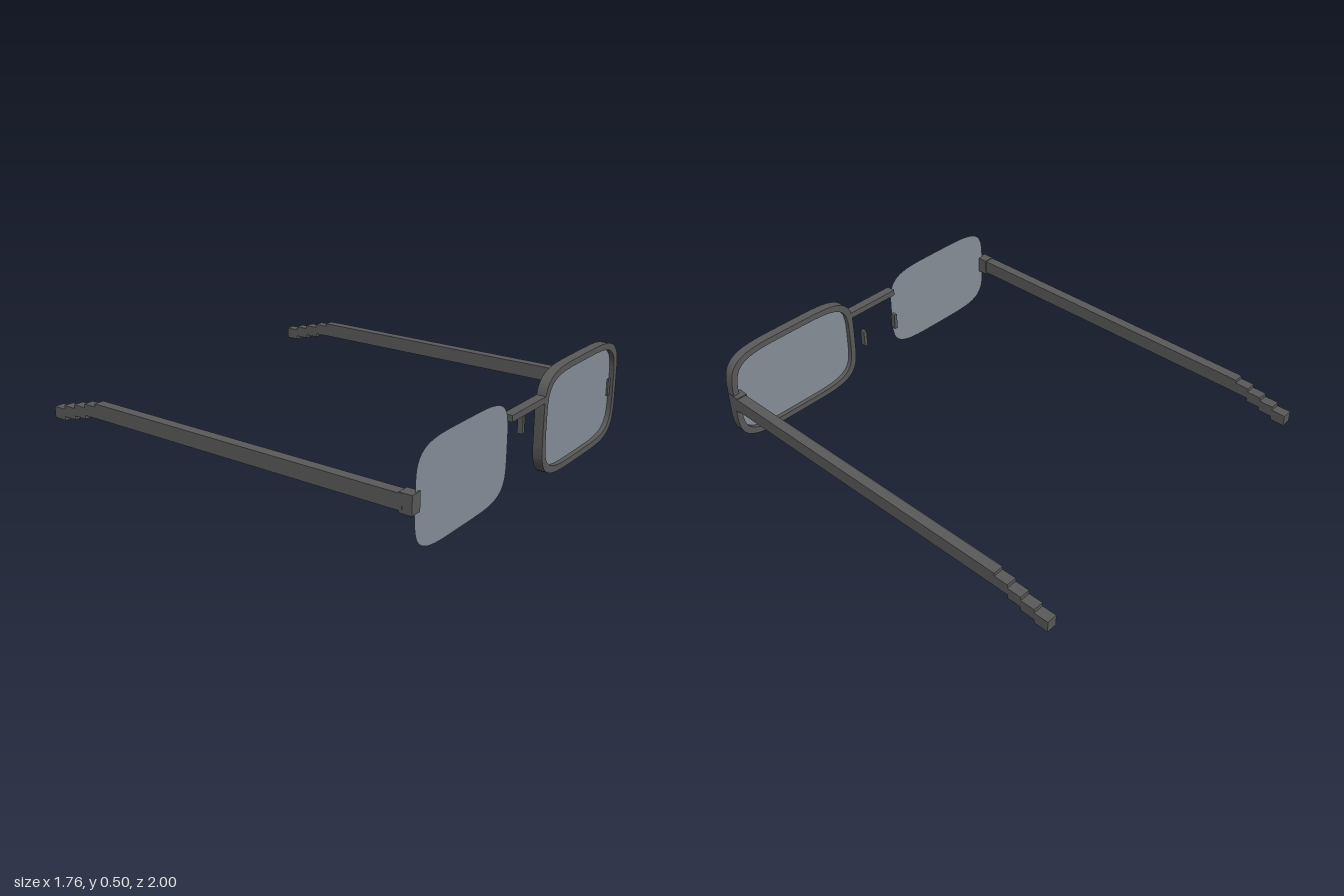
import * as THREE from 'three';

// Soft rectangle outline (superellipse) with half-sizes a and b
function outline(a, b, n = 4.5, count = 64) {
  const points = [];
  for (let i = 0; i < count; i++) {
    const t = (i / count) * Math.PI * 2;
    const c = Math.cos(t), s = Math.sin(t);
    points.push(new THREE.Vector2(
      a * Math.sign(c) * Math.abs(c) ** (2 / n),
      b * Math.sign(s) * Math.abs(s) ** (2 / n)));
  }
  return points;
}

export function createModel() {
  const model = new THREE.Group();
  model.name = 'glasses';

  const frameMat = new THREE.MeshStandardMaterial({ color: 0x5a5a5a });
  frameMat.name = 'frame grey';
  const lensMat = new THREE.MeshStandardMaterial({ color: 0x87909a, side: THREE.DoubleSide });
  lensMat.name = 'lens blue grey';

  const add = (name, geometry, material, x, y, z) => {
    const mesh = new THREE.Mesh(geometry, material);
    mesh.name = name;
    mesh.position.set(x, y, z);
    model.add(mesh);
  };
  const box = (name, w, h, d, x, y, z) =>
    add(name, new THREE.BoxGeometry(w, h, d), frameMat, x, y, z);

  const lensX = 0.5, lensY = 0.252;

  // Rim, around the left lens only
  const rimShape = new THREE.Shape(outline(0.375, 0.252));
  rimShape.holes.push(new THREE.Path(outline(0.345, 0.222)));
  const rim = new THREE.ExtrudeGeometry(rimShape, { depth: 0.046, bevelEnabled: false });
  add('leftRim', rim, frameMat, lensX, lensY, 0.954);

  // Bridge between the lenses
  box('bridge', 0.325, 0.03, 0.046, 0, 0.385, 0.977);

  for (const [side, s] of [['left', 1], ['right', -1]]) {
    // Flat lens
    add(side + 'Lens', new THREE.ShapeGeometry(new THREE.Shape(outline(0.347, 0.224))),
      lensMat, s * lensX, lensY, 0.977);

    // Nose pad
    box(side + 'NosePad', 0.018, 0.084, 0.026, s * 0.105, 0.262, 0.903);

    // Hinge block and straight temple arm
    box(side + 'Hinge', 0.055, 0.084, 0.06, s * 0.85, 0.253, 0.955);
    box(side + 'Arm', 0.05, 0.07, 1.66, s * 0.853, 0.255, 0.11);

    // Stepped ear tip
    for (let i = 0; i < 4; i++) {
      box(side + 'EarTip' + (i + 1), 0.05, 0.055, 0.07,
        s * 0.853, 0.247 - i * 0.0185, -0.755 - i * 0.07);
    }
  }
  return model;
}
